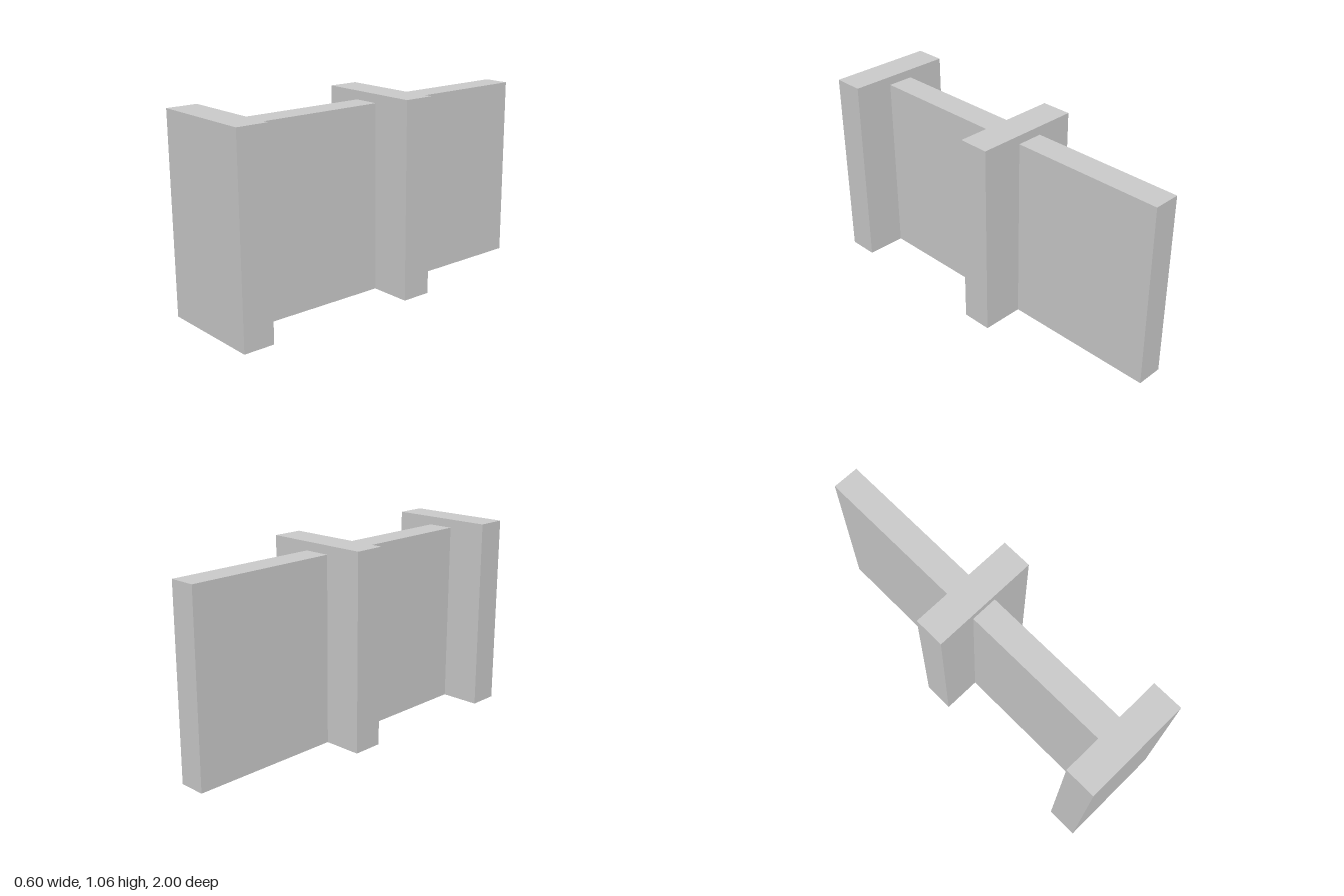
import * as THREE from 'three';

export function createModel() {
  const model = new THREE.Group();
  const material = new THREE.MeshStandardMaterial({ color: 0xcccccc, flatShading: true });

  // Block standing on the ground, given by its x range, z range and height
  function addBlock(name, x0, x1, z0, z1, height) {
    const mesh = new THREE.Mesh(new THREE.BoxGeometry(x1 - x0, height, z1 - z0), material);
    mesh.position.set((x0 + x1) / 2, height / 2, (z0 + z1) / 2);
    mesh.name = name;
    model.add(mesh);
  }

  const wallHeight = 1.01, pillarHeight = 1.057;

  // Pillars, slightly taller than the wall and slightly offset from each other
  addBlock('frontPillar', -0.298, 0.287, 0.833, 1, pillarHeight);
  addBlock('middlePillar', -0.289, 0.298, -0.161, 0.005, pillarHeight);

  // Thin wall panels running between and behind the pillars
  addBlock('frontWall', -0.078, 0.067, 0.005, 0.833, wallHeight);
  addBlock('rearWall', -0.078, 0.067, -1, -0.161, wallHeight);

  return model;
}
